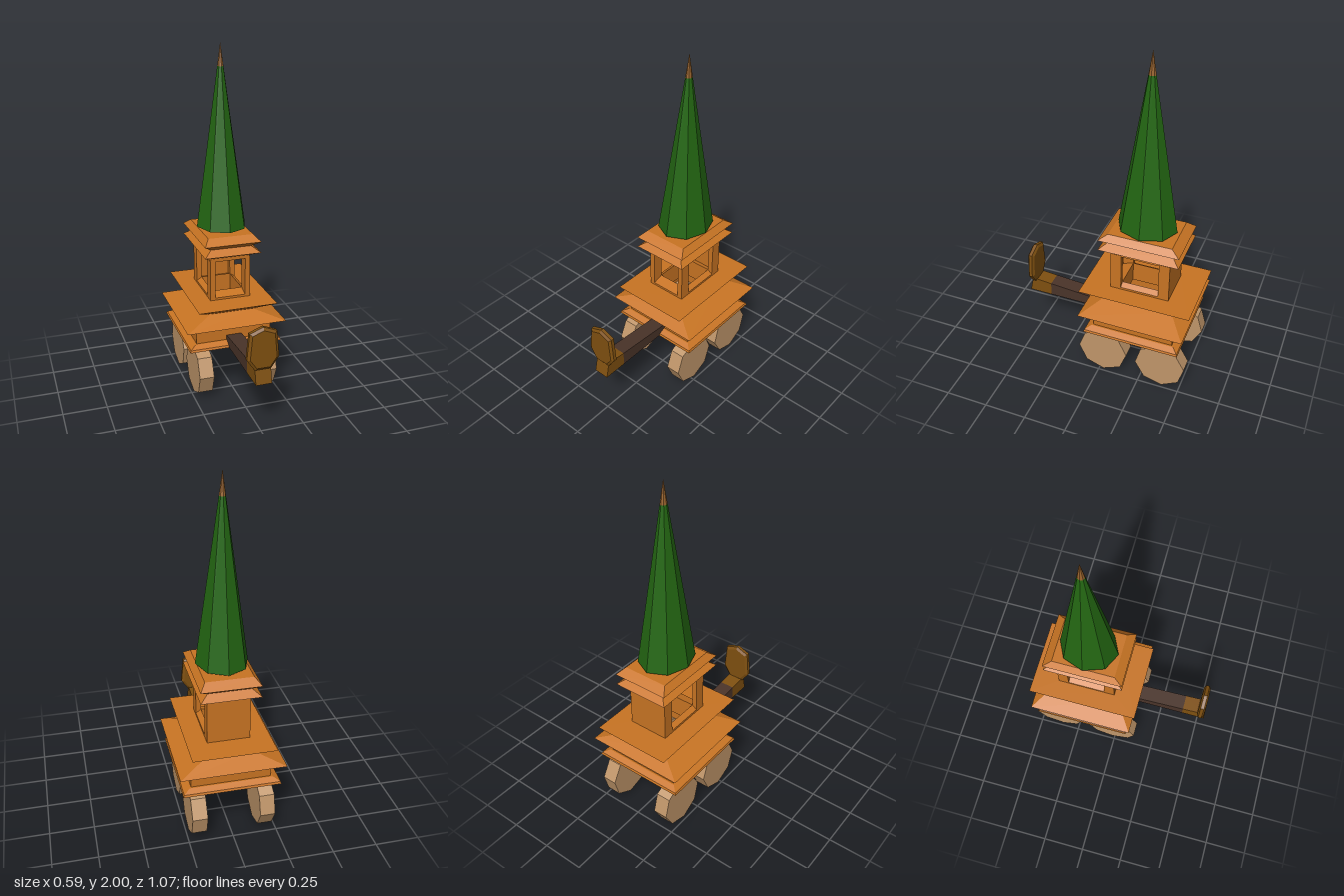
import * as THREE from 'three';

const material = (name, color) => {
  const m = new THREE.MeshStandardMaterial({ color, flatShading: true });
  m.name = name;
  return m;
};

// Rectangular rings [halfX, halfZ, y] joined into flat-faced walls
function rectLoft(rings) {
  const pos = [];
  const signs = [[-1, 1], [1, 1], [1, -1], [-1, -1]];
  const corner = ([hx, hz, y], k) => [signs[k % 4][0] * hx, y, signs[k % 4][1] * hz];
  for (let i = 0; i < rings.length - 1; i++) {
    for (let k = 0; k < 4; k++) {
      const a = corner(rings[i], k), b = corner(rings[i], k + 1);
      const c = corner(rings[i + 1], k + 1), d = corner(rings[i + 1], k);
      pos.push(...a, ...b, ...c, ...a, ...c, ...d);
    }
  }
  const g = new THREE.BufferGeometry();
  g.setAttribute('position', new THREE.Float32BufferAttribute(pos, 3));
  g.computeVertexNormals();
  return g;
}

const polygon = (pts) => new THREE.Shape(pts.map(([x, y]) => new THREE.Vector2(x, y)));

export function createModel() {
  const group = new THREE.Group();
  group.name = 'wheeledTower';
  const orange = material('orange wood', 0xc87423);
  const green = material('green spire', 0x236612);
  const tan = material('tan wheel', 0xc0966a);
  const dark = material('dark brown', 0x4a3429);
  const brown = material('brown', 0x7f5010);
  const tipBrown = material('tip brown', 0x99632c);

  const add = (name, geometry, mat, x = 0, y = 0, z = 0) => {
    const mesh = new THREE.Mesh(geometry, mat);
    mesh.name = name;
    mesh.position.set(x, y, z);
    group.add(mesh);
    return mesh;
  };
  const cz = -0.203; // centre of the tower

  // Hollow tiered base: outer profile upwards, then the cavity downwards
  add('tieredBase', rectLoft([
    [0.275, 0.287, 0.305], [0.27, 0.282, 0.318], [0.235, 0.25, 0.335], [0.225, 0.24, 0.335],
    [0.225, 0.24, 0.425], [0.295, 0.313, 0.436], [0.13, 0.2, 0.49],
    [0.232, 0.33, 0.562], [0.12, 0.175, 0.562], [0.12, 0.175, 0.575], [0.09, 0.112, 0.595],
    [0.09, 0.112, 0.47], [0.2, 0.22, 0.41], [0.2, 0.22, 0.305], [0.275, 0.287, 0.305],
  ]), orange, 0, 0, cz);

  // Open lantern: four corner posts and a solid back wall
  for (const sx of [-1, 1]) {
    for (const sz of [-1, 1]) {
      add('cornerPost', new THREE.BoxGeometry(0.03, 0.24, 0.063), orange,
        sx * 0.105, 0.685, cz + sz * 0.1435);
    }
  }
  add('backWall', new THREE.BoxGeometry(0.18, 0.24, 0.03), orange, 0, 0.685, cz - 0.16);

  // Double-eaved roof
  add('roof', rectLoft([
    [0, 0, 0.797], [0.12, 0.175, 0.797], [0.115, 0.175, 0.818], [0.166, 0.235, 0.845],
    [0.12, 0.19, 0.878], [0.166, 0.235, 0.91], [0.133, 0.185, 0.945], [0, 0, 0.945],
  ]), orange, 0, 0, cz);

  // Eight-sided spire, deeper than wide
  const spire = add('spire', new THREE.CylinderGeometry(0.018, 0.146, 0.91, 8), green, 0, 1.415, cz);
  const tip = add('spireTip', new THREE.ConeGeometry(0.018, 0.13, 8), tipBrown, 0, 1.935, cz);
  spire.scale.z = tip.scale.z = 1.18;

  // Four chunky wheels
  for (const x of [-0.191, 0.191]) {
    for (const [z, turn] of [[-0.02, 0.04], [-0.376, 0.12]]) {
      const g = new THREE.CylinderGeometry(0.15, 0.15, 0.085, 8);
      g.rotateZ(Math.PI / 2);
      g.rotateX(x > 0 ? turn : -turn);
      add('wheel', g, tan, x, 0.151, z);
    }
  }

  // Tapered front beam and its brown end, drawn from the side
  const beam = (name, pts, mat) => {
    const g = new THREE.ExtrudeGeometry(polygon(pts), { depth: 0.09, bevelEnabled: false });
    g.translate(0, 0, -0.045);
    g.rotateY(-Math.PI / 2);
    add(name, g, mat);
  };
  beam('frontBeam', [[0, 0.306], [0.395, 0.306], [0.395, 0.391], [0, 0.36]], dark);
  beam('beamEnd', [[0.395, 0.306], [0.536, 0.306], [0.515, 0.402], [0.395, 0.391]], brown);

  // Upright paddle on the beam end
  const paddle = new THREE.ExtrudeGeometry(polygon([
    [-0.045, 0.385], [0.045, 0.385], [0.09, 0.45], [0.076, 0.6],
    [0, 0.63], [-0.076, 0.6], [-0.09, 0.45],
  ]), {
    depth: 0.02, bevelEnabled: true, bevelThickness: 0.01,
    bevelSize: 0.015, bevelOffset: -0.015, bevelSegments: 1,
  });
  add('paddle', paddle, brown, 0, 0, 0.497);

  return group;
}
